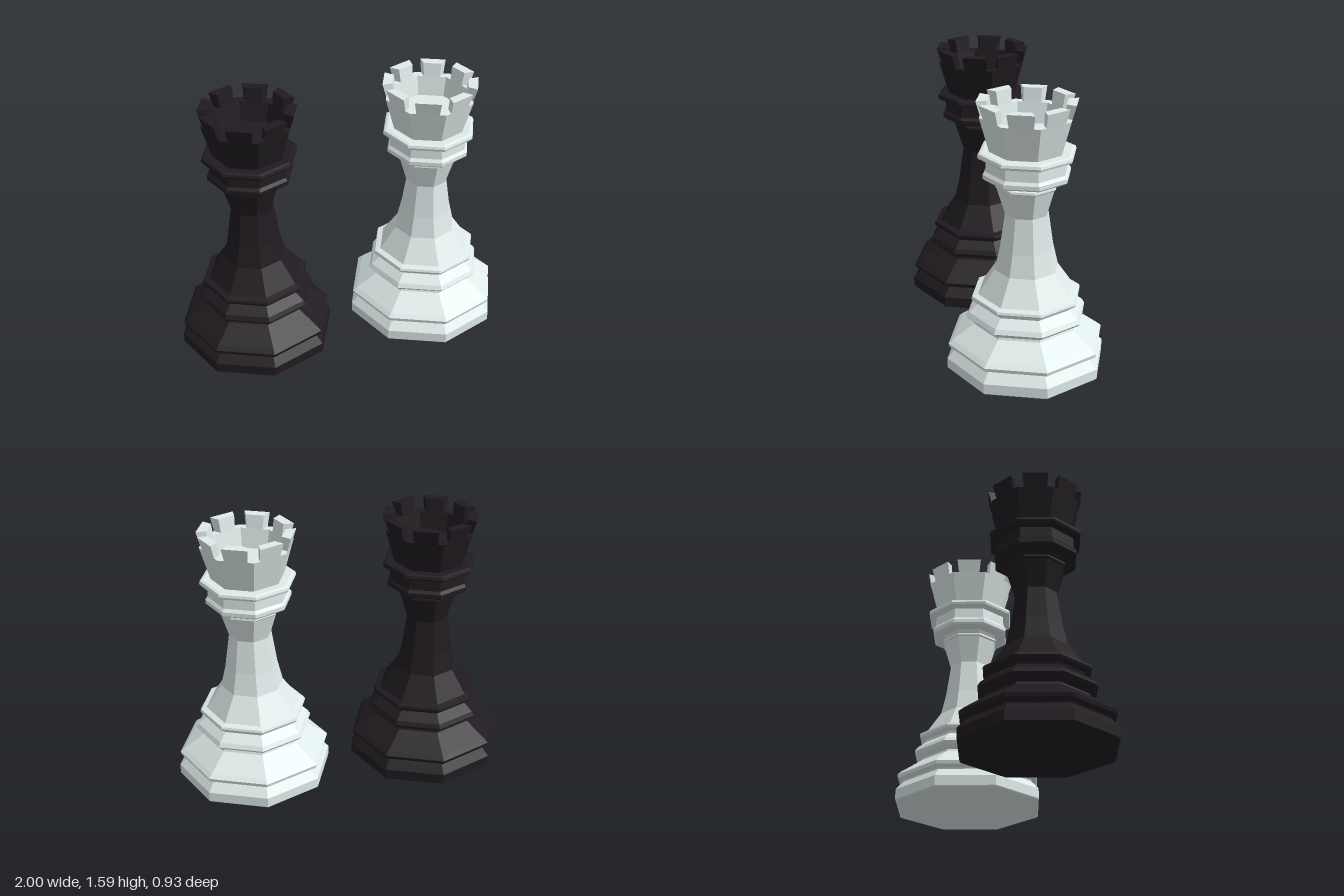
import * as THREE from 'three';

const SIDES = 8;

// Outlines as [radius, height], from bottom to top
const FOOT = [[0, 0], [0.455, 0], [0.463, 0.008], [0.463, 0.068], [0.415, 0.122], [0.418, 0.13],
  [0.45, 0.142], [0.455, 0.163], [0.43, 0.185], [0.305, 0.272], [0.3, 0.285]];
const RINGS = [[0.3, 0.285], [0.335, 0.308], [0.35, 0.325], [0.335, 0.35], [0.28, 0.395], [0.285, 0.41],
  [0.312, 0.42], [0.32, 0.435], [0.315, 0.448], [0.28, 0.457]];
const STEM = [[0.28, 0.457], [0.185, 0.6], [0.155, 0.73], [0.125, 0.935], [0.172, 1.092]];
const COLLAR = [[0.172, 1.092], [0.18, 1.1], [0.178, 1.112], [0.16, 1.12], [0.175, 1.14], [0.24, 1.145],
  [0.25, 1.155], [0.25, 1.178], [0.235, 1.195], [0.232, 1.26], [0.275, 1.272], [0.28, 1.285],
  [0.275, 1.3], [0.26, 1.306], [0.213, 1.306]];
const CROWN = [[0.213, 1.306], [0.269, 1.505], [0.22, 1.505], [0.195, 1.39], [0, 1.39]];

function turned(name, outline, material) {
  const points = outline.map(([r, y]) => new THREE.Vector2(r, y));
  const mesh = new THREE.Mesh(new THREE.LatheGeometry(points, SIDES), material);
  mesh.name = name;
  return mesh;
}

// One battlement: a box fitted to a flat side of the crown, cut short at the corners
function battlementGeometry() {
  const geometry = new THREE.BoxGeometry(1, 1, 1);
  const p = geometry.attributes.position;
  const half = Math.PI / SIDES;
  for (let i = 0; i < p.count; i++) {
    const top = p.getY(i) > 0;
    const outer = p.getZ(i) > 0;
    const r = outer ? (top ? 0.293 : 0.269) : (top ? 0.233 : 0.22);
    const x = Math.sign(p.getX(i)) * (r * Math.sin(half) - 0.037);
    p.setXYZ(i, x, top ? 1.585 : 1.505, r * Math.cos(half));
  }
  geometry.computeVertexNormals();
  return geometry;
}

function createRook(name, color) {
  const material = new THREE.MeshStandardMaterial({ color, flatShading: true });
  const rook = new THREE.Group();
  rook.name = name;
  rook.add(
    turned('foot', FOOT, material),
    turned('baseRings', RINGS, material),
    turned('stem', STEM, material),
    turned('collar', COLLAR, material),
    turned('crown', CROWN, material),
  );

  // Ring of battlements with gaps at the corners
  const battlements = new THREE.Group();
  battlements.name = 'battlements';
  const geometry = battlementGeometry();
  for (let i = 0; i < SIDES; i++) {
    const block = new THREE.Mesh(geometry, material);
    block.name = 'battlement';
    block.rotation.y = ((i + 0.5) * 2 * Math.PI) / SIDES;
    battlements.add(block);
  }
  rook.add(battlements);
  return rook;
}

export function createModel() {
  const model = new THREE.Group();
  model.name = 'chessRooks';
  const dark = createRook('darkRook', 0x201b20);
  const light = createRook('lightRook', 0xdfebea);
  dark.position.x = -0.537;
  light.position.x = 0.537;
  model.add(dark, light);
  return model;
}
